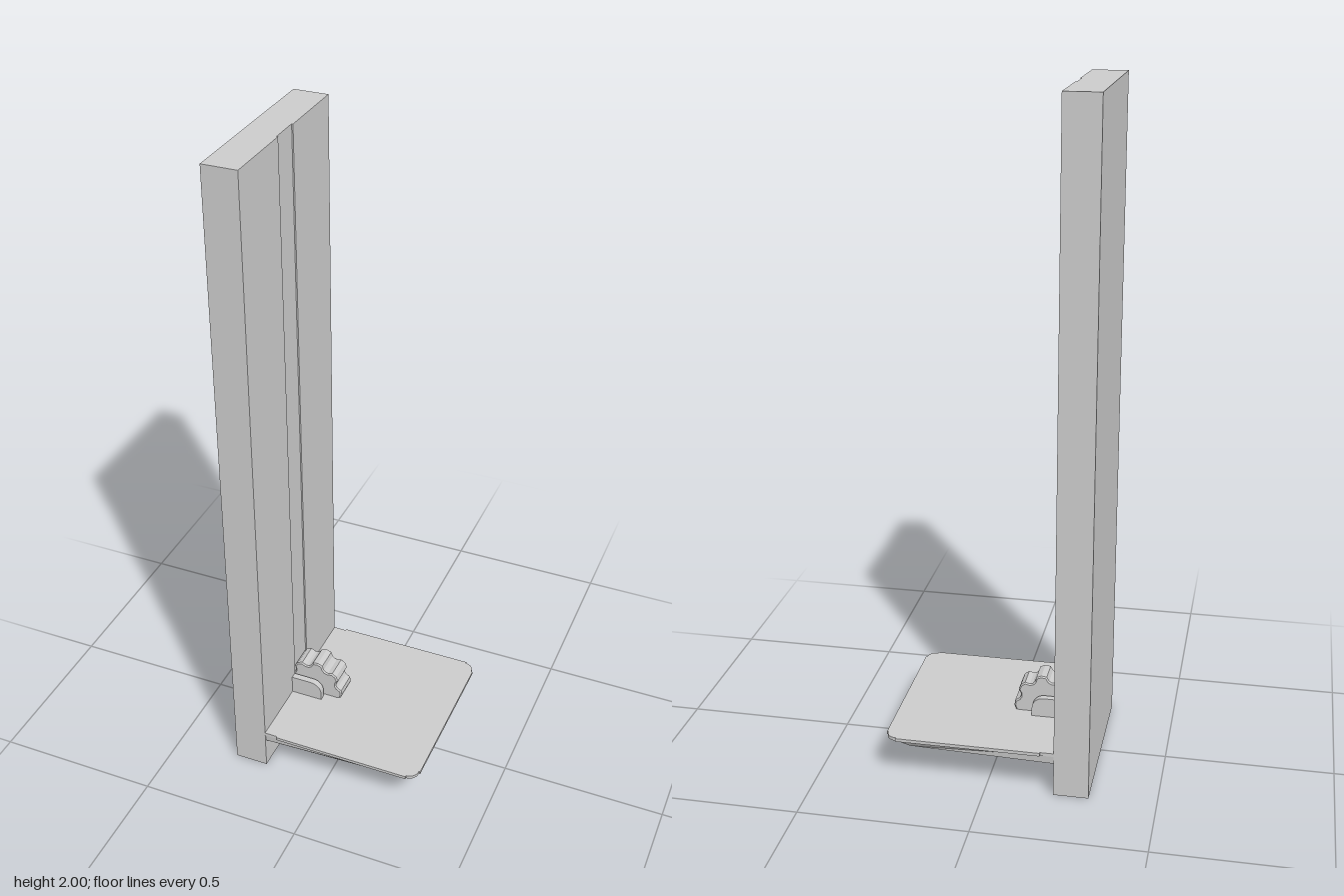
import * as THREE from 'three';

const grey = new THREE.MeshStandardMaterial({ color: 0xcccccc, flatShading: true });

export function createModel() {
  const model = new THREE.Group();
  const add = (name, geometry, x = 0, y = 0, z = 0) => {
    const mesh = new THREE.Mesh(geometry, grey);
    mesh.name = name;
    mesh.position.set(x, y, z);
    model.add(mesh);
    return mesh;
  };
  const polygon = pts => new THREE.Shape(pts.map(p => new THREE.Vector2(...p)));
  const extrude = (shape, depth, opts = {}) =>
    new THREE.ExtrudeGeometry(shape, { depth, bevelEnabled: false, ...opts });

  // Upright post with a shallow guide groove down its inner face
  const W = 0.272, G = 0.045, D = 0.004;
  const post = add('post', extrude(polygon([
    [-0.303, -W], [-0.2, -W], [-0.2, -G], [-0.2 - D, -G],
    [-0.2 - D, G], [-0.2, G], [-0.2, W], [-0.303, W],
  ]), 2));
  post.rotation.x = -Math.PI / 2;

  // Thin platform top: stepped side edges, rounded front corners
  const half = [[-0.2, 0.272], [-0.16, 0.272], [-0.16, 0.277], [0.268, 0.277], [0.268, 0.272]];
  for (let i = 0; i <= 5; i++) {
    const a = Math.PI / 2 * (1 - i / 5);
    half.push([0.268 + 0.03 * Math.cos(a), 0.242 + 0.03 * Math.sin(a)]);
  }
  half.push([0.298, 0.24], [0.302, 0.24]);
  const outline = [...half.map(([x, z]) => [x, -z]), ...half.slice().reverse()];
  const top = add('platformTop', extrude(polygon(outline), 0.01), 0, 0.125, 0);
  top.rotation.x = -Math.PI / 2;

  // Platform underside: sides taper in, front edge bows forward at the middle
  const upper = [[-0.2, -0.27], [0.27, -0.27], [0.296, -0.235], [0.297, 0], [0.296, 0.235], [0.27, 0.27], [-0.2, 0.27]];
  const lower = [[-0.2, -0.267], [0.23, -0.25], [0.262, -0.22], [0.285, 0], [0.262, 0.22], [0.23, 0.25], [-0.2, 0.267]];
  const pos = [], idx = [], n = upper.length;
  upper.forEach(([x, z]) => pos.push(x, 0.126, z));
  lower.forEach(([x, z]) => pos.push(x, 0.1, z));
  for (let i = 0; i < n; i++) {
    const j = (i + 1) % n;
    idx.push(i, j, n + j, i, n + j, n + i);
    if (i > 0 && i < n - 1) idx.push(n, n + i, n + i + 1, 0, i + 1, i);
  }
  const hull = new THREE.BufferGeometry();
  hull.setAttribute('position', new THREE.Float32BufferAttribute(pos, 3));
  hull.setIndex(idx);
  const under = hull.toNonIndexed();
  under.computeVertexNormals();
  add('platformUnderside', under);

  // Eight-lobed adjusting knob
  const knob = [], teeth = 8;
  for (let i = 0; i < teeth; i++) {
    const a = 83 + i * 360 / teeth;
    for (const [da, r] of [[-10, 0.091], [0, 0.094], [10, 0.091], [16, 0.079], [22.5, 0.076], [29, 0.079]]) {
      const t = (a + da) * Math.PI / 180;
      knob.push([r * Math.cos(t), r * Math.sin(t)]);
    }
  }
  add('knob', extrude(polygon(knob), 0.072, {
    bevelEnabled: true, bevelSize: 0.004, bevelThickness: 0.004, bevelOffset: -0.004, bevelSegments: 1,
  }), -0.135, 0.16, -0.036);

  // Bracket cheeks either side of the knob, with small lugs below the platform
  const cheek = new THREE.Shape();
  cheek.moveTo(-0.2, 0.1);
  cheek.lineTo(-0.165, 0.08);
  cheek.lineTo(-0.115, 0.08);
  cheek.lineTo(-0.1, 0.1);
  cheek.lineTo(-0.1, 0.16);
  cheek.absarc(-0.135, 0.16, 0.035, 0, Math.PI / 2, false);
  cheek.lineTo(-0.2, 0.195);
  for (const side of [-1, 1]) {
    add(side > 0 ? 'bracketFront' : 'bracketBack',
      extrude(cheek, 0.02, { curveSegments: 5 }), 0, 0, side * 0.058 - 0.01);
  }

  // Axle joining the cheeks through the knob
  const axle = add('axle', new THREE.CylinderGeometry(0.02, 0.02, 0.12, 16), -0.135, 0.16, 0);
  axle.rotation.x = Math.PI / 2;

  return model;
}
